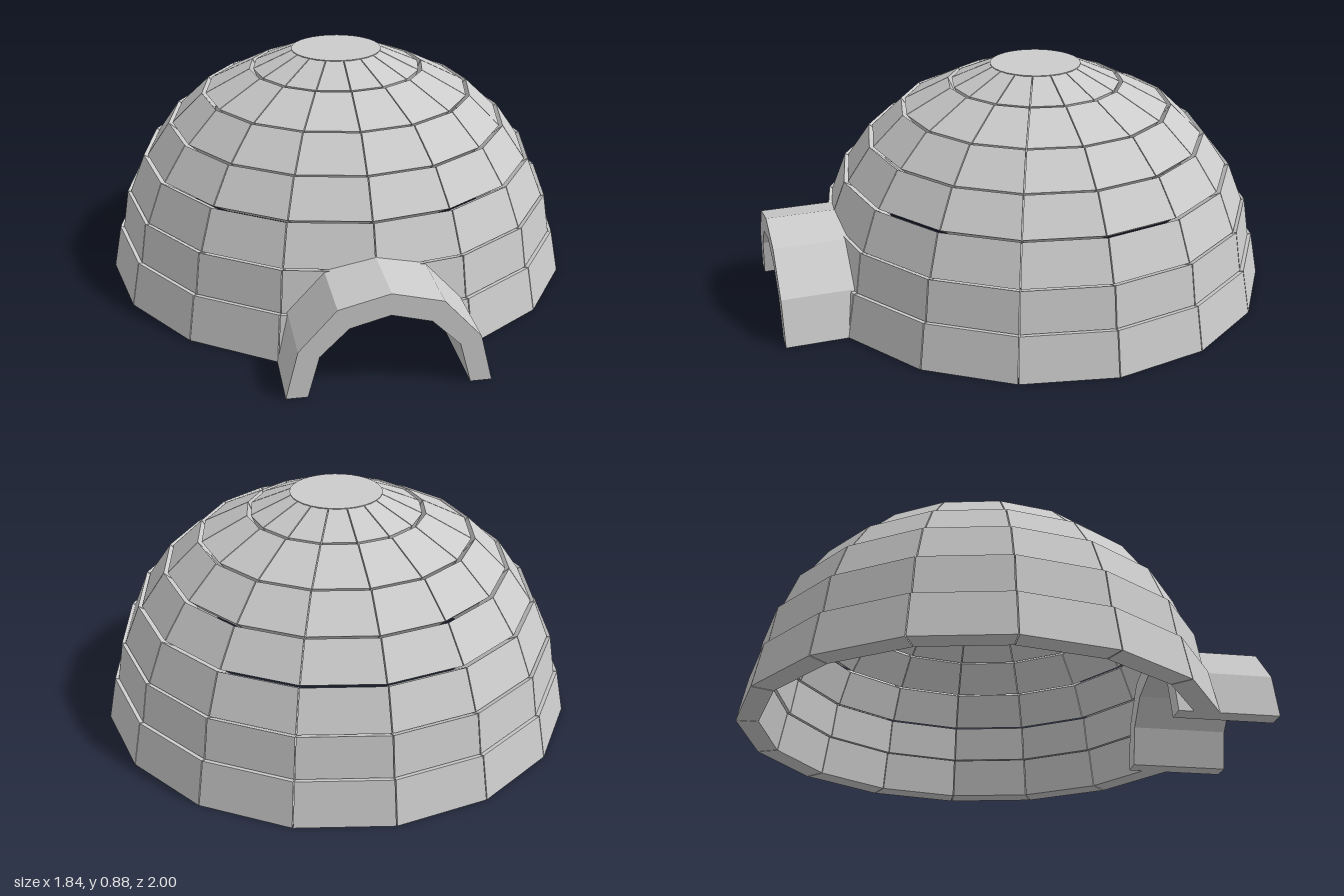
import * as THREE from 'three';
import { ConvexGeometry } from 'three/addons/geometries/ConvexGeometry.js';

const SIDES = 16;
const STEP = (Math.PI * 2) / SIDES;
const CENTRE_Z = -0.08; // dome axis
const INNER = 0.908;    // inner surface as a fraction of the outer
const JOINT = 0.002;    // half-gap between blocks

// Courses of the dome: bottom y, top y, bottom radius, top radius
const courses = [
  [0, 0.17, 0.92, 0.887],
  [0.17, 0.325, 0.873, 0.848],
  [0.325, 0.475, 0.835, 0.775],
  [0.475, 0.605, 0.76, 0.67],
  [0.605, 0.72, 0.655, 0.535],
  [0.72, 0.81, 0.52, 0.345],
  [0.81, 0.878, 0.33, 0.175],
];

// Where the front blocks stop beside the doorway: x at bottom and top
const doorEdge = [[0.32, 0.28], [0.28, 0.13]];

// Outer and inner outline of half the entrance arch
const archOuter = [[0.355, 0], [0.312, 0.175], [0.18, 0.32], [0, 0.365]];
const archInner = [[0.28, 0], [0.24, 0.15], [0.14, 0.248], [0, 0.285]];

export function createModel() {
  const model = new THREE.Group();
  const material = new THREE.MeshStandardMaterial({ color: 0xcccccc, flatShading: true });

  function add(parent, name, geometry) {
    const mesh = new THREE.Mesh(geometry, material);
    mesh.name = name;
    parent.add(mesh);
    return mesh;
  }

  // Point on the flat side k of a ring, t running from 0 to 1 along it
  function ringPoint(k, t, r, y, scale) {
    const a = k * STEP, b = (k + 1) * STEP;
    const x = THREE.MathUtils.lerp(Math.sin(a), Math.sin(b), t);
    const z = THREE.MathUtils.lerp(Math.cos(a), Math.cos(b), t);
    return new THREE.Vector3(x * r * scale, y * scale, z * r * scale + CENTRE_Z);
  }

  // Dome of stepped courses of blocks
  const dome = new THREE.Group();
  dome.name = 'dome';
  model.add(dome);
  courses.forEach(([y0, y1, r0, r1], row) => {
    const course = new THREE.Group();
    course.name = 'course' + (row + 1);
    dome.add(course);
    for (let k = 0; k < SIDES; k++) {
      const points = [];
      [[y0, r0], [y1, r1]].forEach(([y, r], end) => {
        const gap = JOINT / (r * STEP);
        let t0 = gap, t1 = 1 - gap;
        // the two front blocks of the low courses are cut back for the doorway
        if (row < doorEdge.length) {
          const cut = doorEdge[row][end] / (r * Math.sin(STEP));
          if (k === 0) t0 = Math.min(cut, t1 - 0.01);
          if (k === SIDES - 1) t1 = Math.max(1 - cut, t0 + 0.01);
        }
        for (const scale of [1, INNER])
          points.push(ringPoint(k, t0, r, y, scale), ringPoint(k, t1, r, y, scale));
      });
      add(course, 'snowBlock', new ConvexGeometry(points));
    }
  });

  // Round slab closing the top
  const cap = add(dome, 'topSlab', new THREE.CylinderGeometry(0.177, 0.165, 0.08, 32));
  cap.position.set(0, 0.84, CENTRE_Z);

  // Entrance tunnel: three blocks on each side meeting at the crown
  const tunnel = new THREE.Group();
  tunnel.name = 'entranceTunnel';
  model.add(tunnel);
  for (const side of [1, -1]) {
    for (let i = 0; i < archOuter.length - 1; i++) {
      const corners = [archOuter[i], archOuter[i + 1], archInner[i], archInner[i + 1]];
      const points = [];
      for (const z of [0.61, 1])
        for (const [x, y] of corners) points.push(new THREE.Vector3(side * x, y, z));
      add(tunnel, side > 0 ? 'leftArchBlock' : 'rightArchBlock', new ConvexGeometry(points));
    }
  }

  return model;
}
